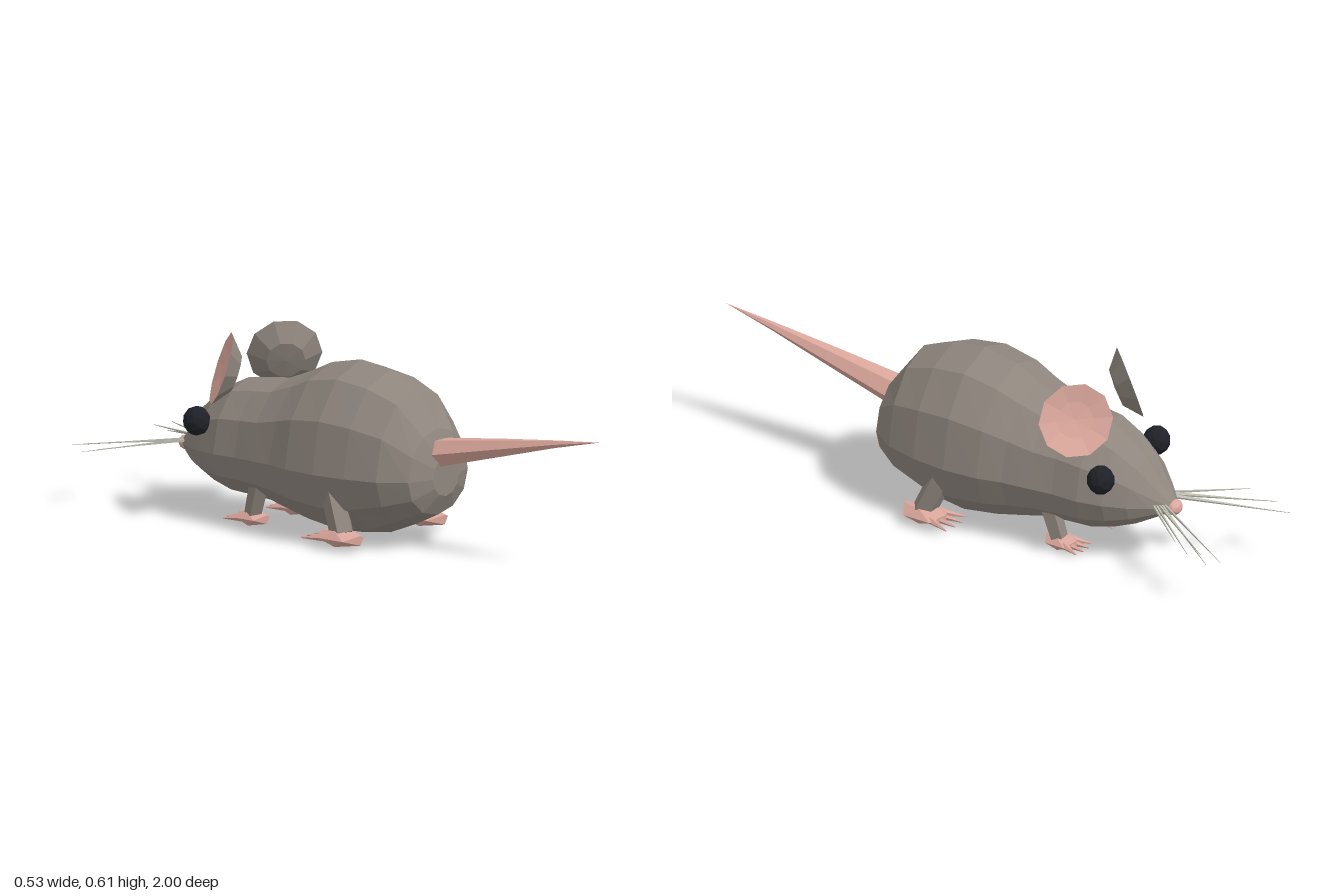
import * as THREE from 'three';

const material = (name, color, side = THREE.FrontSide) => {
  const m = new THREE.MeshStandardMaterial({ color, flatShading: true, side });
  m.name = name;
  return m;
};

// Skin of rings [z, centreY, halfWidth, heightAbove, heightBelow], ordered from +z to -z
function loft(rings, sides) {
  const pos = [];
  const point = ([z, cy, w, up, down], j) => {
    const a = (j % sides) / sides * Math.PI * 2;
    const s = Math.sin(a);
    return [w * Math.cos(a), cy + s * (s > 0 ? up : down), z];
  };
  for (let i = 0; i < rings.length - 1; i++) {
    for (let j = 0; j < sides; j++) {
      const a = point(rings[i], j), b = point(rings[i], j + 1);
      const d = point(rings[i + 1], j), c = point(rings[i + 1], j + 1);
      if (rings[i][2] > 0) pos.push(...a, ...d, ...b);
      if (rings[i + 1][2] > 0) pos.push(...d, ...c, ...b);
    }
  }
  const g = new THREE.BufferGeometry();
  g.setAttribute('position', new THREE.Float32BufferAttribute(pos, 3));
  g.computeVertexNormals();
  return g;
}

export function createModel() {
  const model = new THREE.Group();
  model.name = 'mouse';
  const fur = material('grey fur', 0x8f867e);
  const skin = material('pink skin', 0xdba79c);
  const black = material('black eye', 0x1f2128);
  const hair = material('pale whisker', 0xbdbcb0);

  const add = (name, geometry, mat, parent = model) => {
    const mesh = new THREE.Mesh(geometry, mat);
    mesh.name = name;
    parent.add(mesh);
    return mesh;
  };

  // Tapered limb between two points
  const limb = (name, from, to, r0, r1, sides, mat) => {
    const a = new THREE.Vector3(...from), b = new THREE.Vector3(...to);
    const dir = b.clone().sub(a);
    const mesh = add(name, new THREE.CylinderGeometry(r1, r0, dir.length(), sides), mat);
    mesh.position.copy(a).add(b).multiplyScalar(0.5);
    mesh.quaternion.setFromUnitVectors(new THREE.Vector3(0, 1, 0), dir.normalize());
    return mesh;
  };

  const blob = (name, p, size, detail, mat) => {
    const mesh = add(name, new THREE.IcosahedronGeometry(1, detail), mat);
    mesh.position.set(...p);
    mesh.scale.set(...size);
    return mesh;
  };

  // Body and head, rump to snout
  add('body', loft([
    [0.368, 0.24, 0, 0, 0],
    [0.368, 0.238, 0.063, 0.065, 0.063],
    [0.335, 0.236, 0.147, 0.155, 0.125],
    [0.25, 0.235, 0.204, 0.27, 0.165],
    [0.14, 0.235, 0.232, 0.315, 0.208],
    [0.02, 0.235, 0.243, 0.333, 0.223],
    [-0.1, 0.235, 0.233, 0.308, 0.205],
    [-0.18, 0.235, 0.212, 0.27, 0.188],
    [-0.27, 0.232, 0.196, 0.238, 0.162],
    [-0.35, 0.23, 0.182, 0.23, 0.155],
    [-0.44, 0.228, 0.178, 0.22, 0.148],
    [-0.52, 0.225, 0.155, 0.185, 0.123],
    [-0.59, 0.22, 0.118, 0.132, 0.09],
    [-0.65, 0.215, 0.07, 0.06, 0.05],
    [-0.695, 0.21, 0.025, 0.015, 0.02],
    [-0.695, 0.21, 0, 0, 0],
  ], 12), fur);

  // Tail, a six-sided spike with a gentle curve
  add('tail', loft([
    [1, 0.434, 0, 0, 0],
    [0.82, 0.404, 0.015, 0.013, 0.013],
    [0.6, 0.362, 0.035, 0.031, 0.031],
    [0.36, 0.315, 0.056, 0.049, 0.049],
    [0.3, 0.305, 0.056, 0.049, 0.049],
  ], 6), skin);

  blob('nose', [0, 0.205, -0.695], [0.032, 0.025, 0.025], 1, skin);

  // Cupped ear halves, opening along +z
  const earInside = loft([
    [-0.02, 0, 0, 0, 0], [-0.014, 0, 0.06, 0.06, 0.06], [0, 0, 0.12, 0.12, 0.12],
  ], 10);
  const earBack = loft([
    [0, 0, 0.12, 0.12, 0.12], [-0.048, 0, 0.062, 0.062, 0.062], [-0.052, 0, 0, 0, 0],
  ], 10);

  // Whisker tips
  const tips = [
    [0.2, 0.185, -1], [0.213, 0.17, -0.955], [0.218, 0.2, -0.94],
    [0.215, 0.188, -0.885], [0.215, 0.218, -0.84],
  ];

  for (const s of [-1, 1]) {
    // Ears face outward, forward and a little up
    const ear = new THREE.Group();
    ear.name = 'ear';
    ear.position.set(s * 0.155, 0.503, -0.425);
    ear.lookAt(s * (0.155 + 0.66), 0.503 + 0.3, -0.425 - 0.66);
    add('earInside', earInside, skin, ear);
    add('earBack', earBack, fur, ear);
    model.add(ear);

    blob('eye', [s * 0.16, 0.322, -0.522], [0.045, 0.048, 0.045], 1, black);

    tips.forEach(([x, y, z], i) => {
      limb('whisker', [s * (0.03 + i * 0.006), 0.222, -0.675 + i * 0.006],
        [s * x, y, z], 0.005, 0.0008, 4, hair);
    });

    // Legs
    limb('hindLeg', [s * 0.205, 0.05, 0.115], [s * 0.18, 0.2, 0.05], 0.04, 0.042, 5, fur);
    limb('frontLeg', [s * 0.11, 0.04, -0.33], [s * 0.115, 0.14, -0.3], 0.03, 0.034, 5, fur);

    // Feet with four splayed toes
    const feet = [
      ['hind', 0.207, 0.04, 0.11, 0.056, 0.026, 0.085, -0.02],
      ['front', 0.105, 0.027, -0.337, 0.044, 0.023, 0.06, -0.435],
    ];
    for (const [name, x, y, z, w, h, l, tipZ] of feet) {
      blob(name + 'Foot', [s * x, y, z], [w * 1.1, h * 1.15, l * 1.1], 0, skin);
      for (let t = -1.5; t <= 1.5; t++) {
        limb(name + 'Toe', [s * (x + t * w * 0.38), y, z - l * 0.45],
          [s * (x + t * w * 0.68), y - 0.006, tipZ + Math.abs(t) * 0.009], 0.013, 0.002, 5, skin);
      }
    }
  }
  return model;
}
